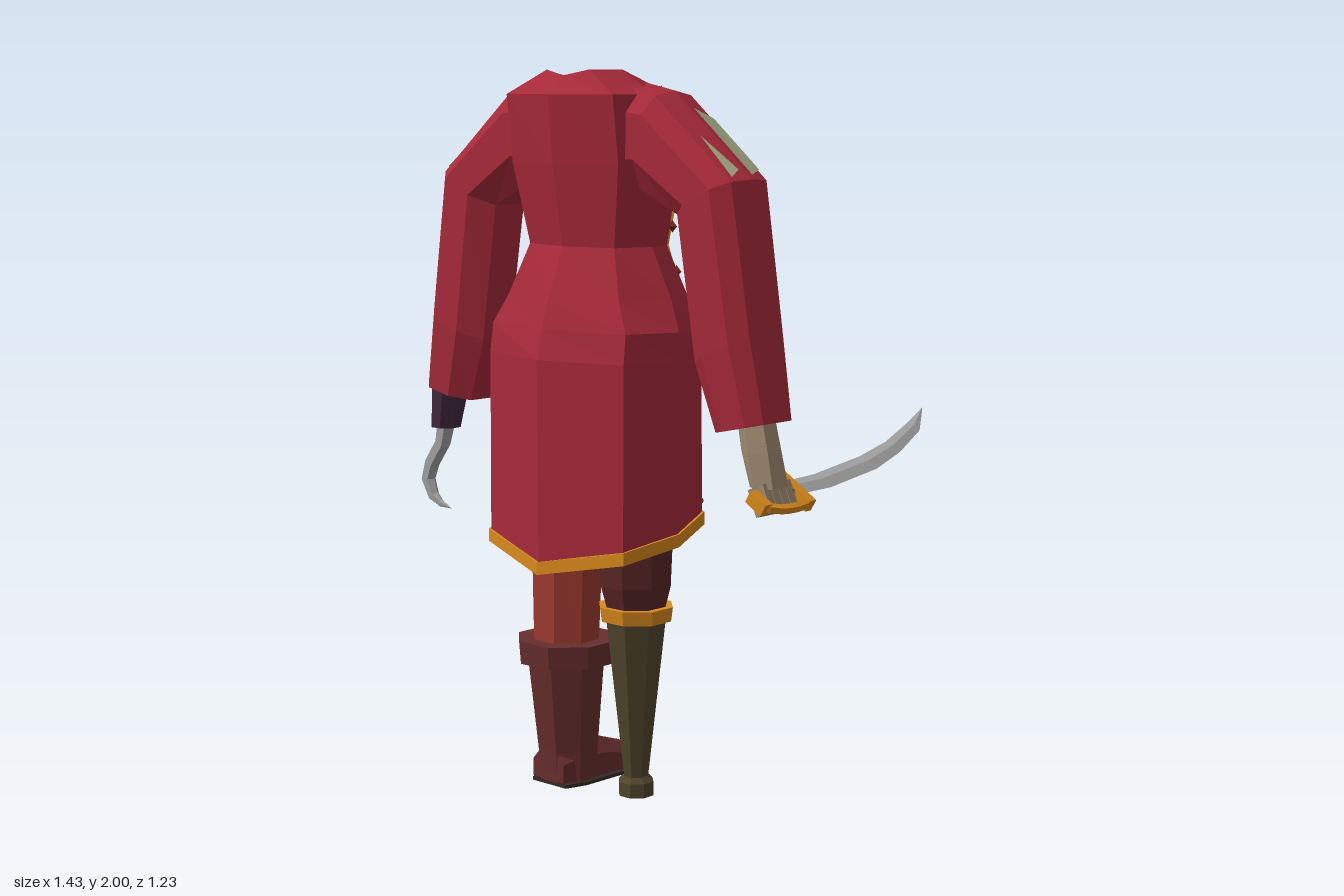
import * as THREE from 'three';

const COLORS = {
  coat: 0xa82a3a, trim: 0xd98a1c, shirt: 0xa3a985, skin: 0xa08a72, flesh: 0x5a1518, stud: 0x7a2420,
  trousers: 0x9c3a30, legCuff: 0x5c2626, boot: 0x692e2e, sole: 0x332c26, peg: 0x50452c,
  sleeve: 0x43293f, belt: 0x5c2a3c, sash: 0x0f4c54, steel: 0xa2a2a2,
};
const mats = {};
const mat = (k) => (mats[k] ??= new THREE.MeshStandardMaterial({
  color: COLORS[k], flatShading: true, side: THREE.DoubleSide }));

function add(parent, name, color, geometry, pos, rot) {
  const m = new THREE.Mesh(geometry, mat(color));
  m.name = name;
  if (pos) m.position.set(...pos);
  if (rot) m.rotation.set(...rot);
  parent.add(m);
  return m;
}

// Skin a list of cross-sections (arrays of [x, y, z])
function loft(sections, { closed = true, caps = true } = {}) {
  const out = [];
  const n = sections[0].length;
  for (let i = 0; i + 1 < sections.length; i++) {
    const a = sections[i], b = sections[i + 1];
    for (let j = 0; j < (closed ? n : n - 1); j++) {
      const k = (j + 1) % n;
      out.push(a[j], b[j], a[k], a[k], b[j], b[k]);
    }
  }
  if (closed && caps) {
    for (const s of [sections[0], sections.at(-1)]) {
      const c = [0, 1, 2].map((d) => s.reduce((t, p) => t + p[d], 0) / n);
      for (let j = 0; j < n; j++) out.push(c, s[j], s[(j + 1) % n]);
    }
  }
  const g = new THREE.BufferGeometry();
  g.setAttribute('position', new THREE.Float32BufferAttribute(out.flat(), 3));
  g.computeVertexNormals();
  return g;
}

// Horizontal elliptical ring
const ring = (x, y, z, rx, rz, n = 8) => Array.from({ length: n }, (_, i) => {
  const a = ((i + 0.5) / n) * Math.PI * 2;
  return [x + Math.cos(a) * rx, y, z + Math.sin(a) * rz];
});
const rings = (list, n) => loft(list.map((r) => ring(...r, n)));
const lerp = (a, b, t) => a.map((v, i) => v + (b[i] - v) * t);

// Half outline [x, z] or [x, z, y] mirrored to the other side
function mirrored(y, half) {
  const right = half.map(([x, z, py = y]) => [x, py, z]);
  const left = right.filter((p) => p[0] > 0).reverse().map(([x, py, z]) => [-x, py, z]);
  return [...right, ...left];
}

function buildCoat(body) {
  // each level: front edge, front corner, side, back corner, back centre
  const levels = [
    [2.0, [[0.1, 0.34, 1.97], [0.13, 0.37, 1.98], [0.14, 0.42], [0.08, 0.485], [0, 0.5, 1.985]]],
    [1.935, [[0.135, 0.285], [0.2, 0.3], [0.23, 0.4], [0.2, 0.52], [0, 0.56]]],
    [1.75, [[0.175, 0.23], [0.21, 0.275], [0.23, 0.38], [0.2, 0.5], [0, 0.545]]],
    [1.53, [[0.135, 0.265], [0.175, 0.285], [0.2, 0.37], [0.16, 0.475], [0, 0.51]]],
    [1.39, [[0.178, 0.262], [0.25, 0.28], [0.28, 0.38], [0.21, 0.51], [0, 0.565]]],
    [1.31, [[0.2, 0.26], [0.29, 0.275], [0.316, 0.39], [0.253, 0.53], [0, 0.59]]],
    [1.23, [[0.205, 0.26], [0.292, 0.275], [0.316, 0.39], [0.255, 0.54], [0, 0.61]]],
    [0.7, [[0.235, 0.257, 0.785], [0.295, 0.275, 0.775], [0.308, 0.39, 0.73], [0.255, 0.545, 0.695], [0, 0.61, 0.645]]],
  ];
  const rows = levels.map(([y, h]) => mirrored(y, h));
  add(body, 'coat', 'coat', loft(rows, { closed: false }));

  // hem band
  const hem = rows.at(-1).map(([x, y, z]) => {
    const l = Math.hypot(x, z - 0.38), ox = x / l, oz = (z - 0.38) / l;
    return [[0.007, 0], [0.007, 0.035], [-0.006, 0.035], [-0.006, 0]]
      .map(([d, h]) => [x + ox * d, y + h, z + oz * d]);
  });
  add(body, 'coatHem', 'trim', loft(hem));

  // front edge bands with studs
  for (const s of [1, -1]) {
    const frames = rows.map(([e, f]) => {
      const l = Math.hypot(f[0] - e[0], f[2] - e[2]);
      const dx = (f[0] - e[0]) / l, dz = (f[2] - e[2]) / l;
      return (u, v) => [s * (e[0] + dx * u + dz * v), e[1], e[2] + dz * u - dx * v];
    });
    add(body, 'coatEdge', 'trim', loft(frames.map((f) =>
      [f(-0.005, -0.006), f(-0.005, 0.01), f(0.032, 0.01), f(0.032, -0.006)])));
    const path = new THREE.CurvePath();
    const pts = frames.map((f) => new THREE.Vector3(...f(0.036, 0.01)));
    for (let i = 0; i + 1 < pts.length; i++) path.add(new THREE.LineCurve3(pts[i], pts[i + 1]));
    for (let i = 0; i < 10; i++) {
      const p = path.getPointAt((i + 0.6) / 10);
      add(body, 'coatStud', 'stud', new THREE.OctahedronGeometry(0.017), p.toArray());
    }
  }
}

function buildSleeve(body, s) {
  // each section: outer [x, y], inner [x, y], depth scale
  const spine = [
    [[0.18, 1.965], [0.17, 1.68], 1], [[0.28, 1.945], [0.21, 1.69], 1],
    [[0.55, 1.72], [0.345, 1.625], 1], [[0.612, 1.32], [0.405, 1.24], 0.95], [[0.65, 1.1], [0.47, 1.06], 0.8],
  ];
  const outline = [[0.95, 0.44], [1, 0.366], [0.95, 0.3], [0.7, 0.27], [0.3, 0.27],
    [0, 0.32], [0, 0.43], [0.3, 0.48], [0.75, 0.48]];
  const rows = spine.map(([o, i, d]) => outline.map(([t, z]) => {
    const [x, y] = lerp(i, o, t);
    return [s * x, y, 0.372 + (z - 0.372) * d];
  }));
  add(body, 'sleeve', 'coat', loft(rows));
  // worn patches on the upper arm
  const at = (t, k) => {
    const j = Math.min(Math.floor(k), 1);
    const p = lerp(lerp(rows[1][j], rows[1][j + 1], k - j), lerp(rows[2][j], rows[2][j + 1], k - j), t);
    return [p[0] + s * 0.004, p[1] + 0.005, p[2]];
  };
  const open = { closed: false };
  add(body, 'sleevePatch', 'shirt', loft([[at(0.22, 1.05), at(0.3, 1.95)], [at(0.97, 1.05), at(0.9, 1.95)]], open));
  add(body, 'sleevePatchSmall', 'shirt', loft([[at(0.5, 0.3), at(0.5, 0.3)], [at(0.97, 0.1), at(0.9, 0.65)]], open));
}

function buildTorso(body) {
  const shirt = [
    [1.18, [[0.05, 0.27], [0.17, 0.285], [0.21, 0.37], [0.14, 0.47]]],
    [1.5, [[0.045, 0.262], [0.125, 0.28], [0.16, 0.37], [0.11, 0.45]]],
    [1.62, [[0.04, 0.24], [0.14, 0.27], [0.18, 0.37], [0.13, 0.46]]],
    [1.76, [[0.035, 0.214], [0.165, 0.25], [0.2, 0.38], [0.15, 0.48]]],
    [1.88, [[0.05, 0.262], [0.14, 0.29], [0.18, 0.39], [0.14, 0.49]]],
    [1.975, [[0.06, 0.345], [0.085, 0.36], [0.09, 0.42], [0.05, 0.482]]],
  ];
  add(body, 'shirt', 'shirt', loft(shirt.map(([y, h]) => mirrored(y, h)), { caps: false }));
  add(body, 'bareChest', 'skin', loft([[1.965, 0.065, 0.335], [1.88, 0.055, 0.253], [1.77, 0.028, 0.207]]
    .map(([y, w, z]) => [[-w, y, z], [w, y, z]]), { closed: false }));
  add(body, 'neck', 'skin', rings([[0, 1.85, 0.4, 0.07, 0.065], [0, 1.95, 0.405, 0.068, 0.062]], 6));
  add(body, 'neckTop', 'flesh', rings([[0, 1.95, 0.405, 0.066, 0.06], [0, 1.957, 0.405, 0.066, 0.06]], 6));
  add(body, 'hips', 'trousers', rings([[0, 1.22, 0.37, 0.22, 0.115], [0, 1.1, 0.37, 0.23, 0.115], [0, 1.03, 0.37, 0.17, 0.09]], 10));
  add(body, 'belt', 'belt', rings([[0, 1.17, 0.37, 0.232, 0.128], [0, 1.26, 0.37, 0.222, 0.125]], 10));
  // slanted sash, deepest on the right hip
  const sash = [1.18, 1.15].map((y, i) => ring(0, y, 0.37, 0.232, 0.123, 10)
    .map(([x, py, z]) => [x, py + (i ? x * 0.22 - 0.01 : 0), z]));
  add(body, 'sash', 'sash', loft(sash));
}

function buildLegs(g) {
  add(g, 'rightLeg', 'trousers', rings([[-0.1, 1.14, 0.37, 0.12, 0.11], [-0.108, 0.72, 0.375, 0.112, 0.1],
    [-0.105, 0.38, 0.385, 0.1, 0.095]]));
  add(g, 'bootCuff', 'boot', rings([[-0.1, 0.35, 0.385, 0.145, 0.14], [-0.1, 0.415, 0.385, 0.15, 0.145]]));
  add(g, 'bootShaft', 'boot', rings([[-0.1, 0.36, 0.39, 0.115, 0.115], [-0.1, 0.1, 0.385, 0.09, 0.09],
    [-0.1, 0.01, 0.385, 0.085, 0.085]]));
  // foot sections along z: depth, half width, height
  const foot = [[0.465, 0.06, 0.1], [0.4, 0.08, 0.13], [0.3, 0.082, 0.115], [0.21, 0.085, 0.08], [0.15, 0.065, 0.06], [0.13, 0.035, 0.04]];
  const section = (z, w, lo, hi) => [[-w, lo], [w, lo], [w, lo + (hi - lo) * 0.6], [w * 0.5, hi], [-w * 0.5, hi], [-w, lo + (hi - lo) * 0.6]]
    .map(([x, y]) => [x - 0.1, y, z]);
  add(g, 'bootFoot', 'boot', loft(foot.map(([z, w, h]) => section(z, w, 0.015, h))));
  add(g, 'bootSole', 'sole', loft(foot.map(([z, w]) => section(z - 0.003, w + 0.006, 0, 0.016))));

  add(g, 'leftLeg', 'trousers', rings([[0.135, 1.14, 0.37, 0.12, 0.11], [0.145, 0.68, 0.365, 0.1, 0.098]]));
  add(g, 'leftLegCuff', 'legCuff', rings([[0.145, 0.73, 0.365, 0.112, 0.108], [0.143, 0.6, 0.362, 0.105, 0.102],
    [0.143, 0.53, 0.36, 0.085, 0.085]]));
  add(g, 'pegBand', 'trim', rings([[0.143, 0.5, 0.36, 0.105, 0.1], [0.143, 0.54, 0.36, 0.11, 0.106]]));
  add(g, 'pegLeg', 'peg', rings([[0.142, 0.51, 0.36, 0.09, 0.088], [0.142, 0.055, 0.36, 0.036, 0.036],
    [0.142, 0.04, 0.36, 0.052, 0.05], [0.142, 0, 0.36, 0.052, 0.05]]));
}

function buildHook(g) {
  add(g, 'hookCuff', 'sleeve', rings([[-0.575, 1.13, 0.378, 0.062, 0.062], [-0.605, 0.965, 0.378, 0.047, 0.045]]));
  const path = [[-0.605, 0.98, 0.032], [-0.622, 0.915, 0.028], [-0.67, 0.85, 0.027], [-0.688, 0.8, 0.025],
    [-0.665, 0.75, 0.02], [-0.635, 0.733, 0.012], [-0.59, 0.722, 0.001]];
  add(g, 'hook', 'steel', loft(path.map(([x, y, r], i) => {
    const a = path[Math.max(i - 1, 0)], b = path[Math.min(i + 1, path.length - 1)];
    const l = Math.hypot(b[0] - a[0], b[1] - a[1]);
    const nx = -(b[1] - a[1]) / l, ny = (b[0] - a[0]) / l;
    return Array.from({ length: 6 }, (_, k) => {
      const c = Math.cos(k * Math.PI / 3) * r, d = Math.sin(k * Math.PI / 3) * r * 0.75;
      return [x + nx * c, y + ny * c, 0.377 + d];
    });
  })));
}

function buildSwordHand(g) {
  add(g, 'hand', 'skin', rings([[0.585, 1.12, 0.375, 0.05, 0.05], [0.612, 1.02, 0.38, 0.052, 0.055], [0.638, 0.93, 0.38, 0.045, 0.062]], 6));
  for (let i = 0; i < 4; i++) {
    add(g, 'finger', 'skin', new THREE.BoxGeometry(0.055, 0.075, 0.026), [0.65, 0.9, 0.335 + i * 0.028], [0, 0, 0.4]);
  }
  add(g, 'thumb', 'skin', new THREE.BoxGeometry(0.03, 0.09, 0.03), [0.607, 0.945, 0.325], [0.3, 0, 0.3]);
  add(g, 'swordGrip', 'peg', new THREE.CylinderGeometry(0.018, 0.018, 0.17, 6), [0.64, 0.905, 0.36], [Math.PI / 2, 0, 0]);
  add(g, 'swordGuard', 'trim', new THREE.BoxGeometry(0.145, 0.035, 0.025), [0.638, 0.912, 0.285], [0, 0, -0.55]);
  add(g, 'swordPommel', 'trim', new THREE.BoxGeometry(0.06, 0.035, 0.03), [0.66, 0.898, 0.445], [0, 0, -0.55]);
  const bow = new THREE.CatmullRomCurve3([[0.69, 0.88, 0.285], [0.7, 0.878, 0.36], [0.692, 0.882, 0.42], [0.665, 0.895, 0.45]]
    .map((p) => new THREE.Vector3(...p)));
  add(g, 'knuckleBow', 'trim', new THREE.TubeGeometry(bow, 6, 0.014, 5));
  // curved blade lying in a tilted plane: z, inner x, outer x
  const blade = [[0.29, 0.588, 0.645], [0.13, 0.582, 0.643], [-0.115, 0.547, 0.608], [-0.285, 0.508, 0.56],
    [-0.475, 0.444, 0.487], [-0.613, 0.392, 0.394]];
  add(g, 'swordBlade', 'steel', loft(blade.map(([z, a, b]) => {
    const y = (x) => 1.01 - 0.457 * (x - 0.395), m = (a + b) / 2, t = Math.min(0.007, (b - a) * 0.12);
    return [[a, y(a), z], [m + t * 0.4, y(m) + t, z], [b, y(b), z], [m - t * 0.4, y(m) - t, z]];
  })));
}

export function createModel() {
  const g = new THREE.Group();
  g.name = 'figure';
  const body = new THREE.Group();
  body.name = 'upperBody';
  body.position.x = 0.017;
  g.add(body);
  buildTorso(body);
  buildCoat(body);
  for (const s of [1, -1]) buildSleeve(body, s);
  buildLegs(g);
  buildHook(g);
  buildSwordHand(g);
  return g;
}
